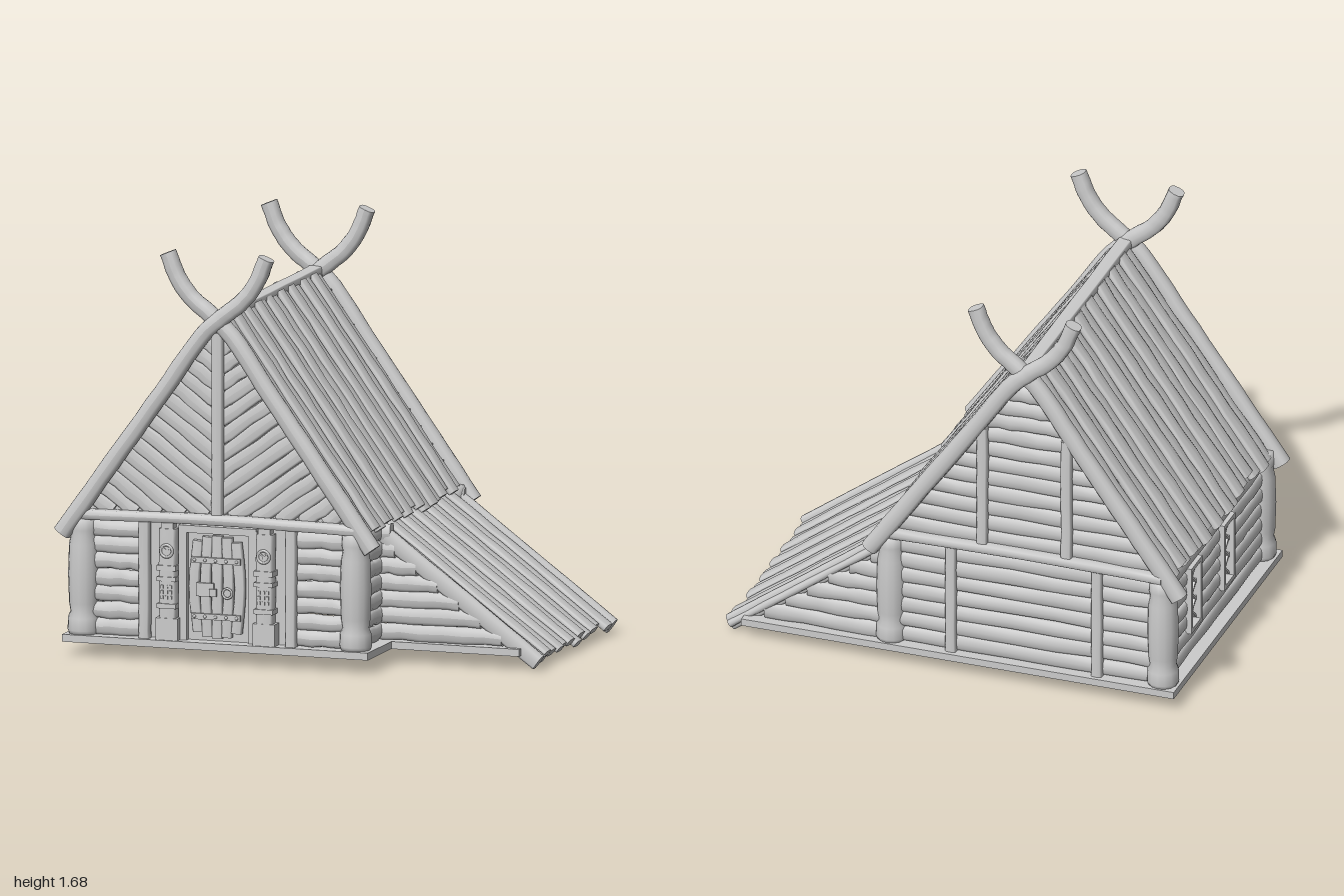
import * as THREE from 'three';

const CX = -0.3;            // ridge line of the main house
const PITCH = 1.4;          // main roof slope
const WALL_Y = 0.095, ROW = 0.067, ROWS = 7;

export function createModel() {
  const root = new THREE.Group();
  root.name = 'timberLonghouse';
  const mat = new THREE.MeshStandardMaterial({ color: 0xcccccc, side: THREE.DoubleSide });
  let seed = 7;
  const rnd = () => (seed = (seed * 16807) % 2147483647) / 2147483647;
  const jit = (a) => (rnd() - 0.5) * 2 * a;
  const V = (p) => new THREE.Vector3(...p);

  const group = (name, parent = root) => {
    const g = new THREE.Group();
    g.name = name;
    parent.add(g);
    return g;
  };
  const add = (parent, name, geo, x = 0, y = 0, z = 0) => {
    const m = new THREE.Mesh(geo, mat);
    m.name = name;
    m.position.set(x, y, z);
    parent.add(m);
    return m;
  };
  const box = (parent, name, w, h, d, x, y, z) => add(parent, name, new THREE.BoxGeometry(w, h, d), x, y, z);

  // Rough hewn timber lofted along points: w across, d along "up"; sq 1 = round, small = square
  function timber(parent, name, pts, w, d, up, { sq = 0.5, seg = 8, wob = 0.07, end = 1 } = {}) {
    const curve = new THREE.CatmullRomCurve3(pts.map(V));
    const geo = new THREE.CylinderGeometry(1, 1, 1, 12, seg);
    const rings = Array.from({ length: seg + 1 }, (_, i) => ({
      p: curve.getPoint(i / seg), t: curve.getTangent(i / seg),
      s: (1 + jit(wob)) * (1 + (end - 1) * i / seg), o: jit(wob * w * 0.5), q: 1 + jit(wob),
    }));
    const pos = geo.attributes.position, U = V(up);
    const pw = (v) => Math.sign(v) * Math.abs(v) ** sq;
    for (let i = 0; i < pos.count; i++) {
      const r = rings[Math.round((0.5 - pos.getY(i)) * -seg + seg)];
      const n = U.clone().addScaledVector(r.t, -U.dot(r.t)).normalize();
      const s = r.t.clone().cross(n);
      const v = r.p.clone()
        .addScaledVector(s, pw(pos.getX(i)) * w / 2 * r.s + r.o)
        .addScaledVector(n, pw(pos.getZ(i)) * d / 2 * r.q * (1 + (end - 1) * 0.5));
      pos.setXYZ(i, v.x, v.y, v.z);
    }
    geo.computeVertexNormals();
    return add(parent, name, geo);
  }
  const log = (parent, a, b, d = 0.055) =>
    timber(parent, 'wallLog', [a, b], ROW * 1.06, d, a[2] === b[2] ? [0, 0, 1] : [1, 0, 0], { sq: 0.75, wob: 0.09 });
  const upright = (parent, x, y0, y1, z, w = 0.046) =>
    timber(parent, 'uprightPost', [[x, y0, z], [x, y1, z]], w, 0.045, [0, 0, 1], { sq: 0.5, seg: 5, wob: 0.05 });

  // L-shaped foundation frame, open in the middle
  const outline = (S, k) => {
    const s = new S();
    [[-0.95, 0.645], [0.9, 0.645], [0.9, -0.36], [0.355, -0.36], [0.355, -0.645], [-0.95, -0.645]]
      .forEach(([x, y], i) => {
        const px = x + (x < 0 ? k : -k), py = y + (y < 0 ? k : -k);
        i ? s.lineTo(px, py) : s.moveTo(px, py);
      });
    s.closePath();
    return s;
  };
  const base = outline(THREE.Shape, 0);
  base.holes.push(outline(THREE.Path, 0.12));
  add(root, 'foundationFrame', new THREE.ExtrudeGeometry(base, { depth: 0.03, bevelEnabled: false }), 0, 0.065, 0)
    .rotation.x = -Math.PI / 2;

  // Corner posts
  const profile = [[0, 0.09], [0.058, 0.09], [0.066, 0.11], [0.064, 0.16], [0.054, 0.185], [0.06, 0.22],
    [0.064, 0.34], [0.06, 0.46], [0.052, 0.5], [0.058, 0.52], [0.054, 0.575], [0, 0.58]]
    .map(([r, y]) => new THREE.Vector2(r, y));
  for (const x of [-0.88, 0.28]) for (const z of [-0.578, 0.578])
    add(root, 'cornerPost', new THREE.LatheGeometry(profile, 14), x, 0, z);

  // Log walls
  const leanX = (y) => 0.955 - (y - 0.04) / 0.735;
  const walls = group('logWalls');
  const windows = [-0.3, 0.09];
  for (let i = 0; i < ROWS; i++) {
    const y = WALL_Y + ROW * (i + 0.5);
    log(walls, [-0.86, y, 0.575], [-0.6, y, 0.575]);
    log(walls, [0.0, y, 0.575], [0.26, y, 0.575]);
    log(walls, [-0.86, y, -0.58], [0.3, y, -0.58]);
    log(walls, [0.28, y, 0.3], [0.28, y, 0.55]);
    const end = Math.max(leanX(y) - 0.02, 0.34);
    log(walls, [0.26, y, 0.31], [end, y, 0.31]);
    log(walls, [0.26, y, -0.585], [end, y, -0.585]);
    // left-hand wall leaves gaps for the windows
    const cuts = i > 1 && i < 6 ? [-0.55, ...windows.flatMap((z) => [z - 0.05, z + 0.05]), 0.55] : [-0.55, 0.55];
    for (let k = 0; k < cuts.length; k += 2) log(walls, [-0.88, y, cuts[k]], [-0.88, y, cuts[k + 1]]);
  }

  // Lattice windows
  for (const z of windows) {
    const g = group('latticeWindow');
    g.position.set(-0.9, 0.363, z);
    for (const s of [-1, 1]) {
      box(g, 'windowJamb', 0.05, 0.29, 0.018, 0, 0, s * 0.056);
      box(g, 'windowRail', 0.05, 0.018, 0.13, 0, s * 0.139, 0);
      for (let k = -1; k <= 1; k++)
        box(g, 'latticeBar', 0.012, 0.135, 0.009, 0, k * 0.078, 0).rotation.x = s * 0.8;
    }
  }

  // Wall framing front and back, with tie beams
  for (const s of [-1, 1]) {
    const f = group(s > 0 ? 'frontFraming' : 'backFraming');
    upright(f, -0.61, 0.09, 0.585, s * 0.605);
    upright(f, 0.015, 0.09, 0.585, s * 0.605);
    timber(f, 'tieBeam', [[-0.89, 0.585, s * 0.605], [CX, 0.595, s * 0.61], [0.29, 0.585, s * 0.605]], 0.042, 0.06, [0, 0, 1], { wob: 0.04 });
  }

  // Front gable: boards falling to a centre post in a V
  const front = group('frontGable');
  const slope = 0.72;
  for (const s of [-1, 1]) for (let c = 0.2; c < 1.34; c += 0.072) {
    const u0 = Math.max(0, (0.6 - c) / slope), u1 = (1.4 - c) / (PITCH + slope);
    if (u1 - u0 > 0.03)
      timber(front, 'gableBoard', [[CX + s * u0, c + slope * u0, 0.582], [CX + s * u1, c + slope * u1, 0.582]],
        0.06, 0.03, [0, 0, 1], { sq: 0.55, seg: 6, wob: 0.1 });
  }
  upright(front, CX, 0.59, 1.36, 0.602, 0.048);
  const tri = new THREE.Shape([[-0.56, 0.6], [0.56, 0.6], [0, 1.38]].map(([x, y]) => new THREE.Vector2(x, y)));
  add(front, 'gableBacking', new THREE.ExtrudeGeometry(tri, { depth: 0.008, bevelEnabled: false }), CX, 0, 0.568);

  // Back gable: stacked logs and two posts
  const back = group('backGable');
  for (let y = 0.635; y < 1.36; y += ROW) {
    const h = (1.4 - y) / PITCH;
    log(back, [CX - h, y, -0.58], [CX + h, y, -0.58]);
  }
  for (const s of [-1, 1]) upright(back, CX + s * 0.18, 0.59, 1.14, -0.607);

  // Main roof boards on a thin deck
  const roof = group('mainRoof');
  for (const s of [-1, 1]) {
    const up = [s * PITCH, 1, 0];
    const at = (u, z, lift = 0) => [CX + s * (u + lift * 0.81), 1.425 - PITCH * u + lift * 0.58, z];
    timber(roof, 'roofDeck', [at(0.01, 0, -0.012), at(0.6, 0, -0.012)], 1.13, 0.012, up, { sq: 0.15, wob: 0, seg: 2 });
    for (let i = 0; i < 17; i++) {
      const z = -0.536 + i * 0.067, lift = (i % 2) * 0.012 + jit(0.004);
      timber(roof, 'roofBoard', [at(0.012, z + jit(0.006), lift), at(0.3, z + jit(0.006), lift), at(0.616 + jit(0.012), z, lift)],
        0.07, 0.034, up, { sq: 0.6, seg: 12, wob: 0.1, end: 1.04 });
    }
  }
  timber(roof, 'ridgeBeam', [[CX, 1.412, -0.585], [CX, 1.41, 0.585]], 0.06, 0.045, [0, 1, 0], { sq: 0.3, wob: 0.03 });

  // Crossed gable rafters curling into horns
  for (const e of [-1, 1]) for (const s of [-1, 1]) {
    const z = e * 0.609 + (s > 0 ? 0.006 : -0.006);
    timber(root, 'hornedRafter', [[-0.66, 0.507], [-0.44, 0.815], [-0.22, 1.122], [-0.05, 1.36], [0.035, 1.435],
      [0.11, 1.495], [0.17, 1.575], [0.212, 1.676]].map(([x, y]) => [CX + s * x, y, z]),
    0.074, 0.066, [0, 0, 1], { sq: 0.75, seg: 36, wob: 0.025, end: 0.9 });
  }

  // Lean-to roof
  const lean = group('leanToRoof');
  const lup = [0.735, 1, 0];
  const la = (x, z, l = 0) => [x + l * 0.59, 0.037 + (0.967 - x) * 0.735 + l * 0.8, z];
  timber(lean, 'leanToDeck', [la(0.29, -0.145, -0.01), la(0.93, -0.145, -0.01)], 0.92, 0.01, lup, { sq: 0.15, wob: 0, seg: 2 });
  for (let i = 0; i < 13; i++) {
    const z = -0.575 + i * 0.07, lift = (i % 2) * 0.01;
    timber(lean, 'leanToBoard', [la(0.28, z, lift), la(0.6, z + jit(0.005), lift), la(0.955 + jit(0.016), z, lift)],
      0.072, 0.034, lup, { sq: 0.6, seg: 10, wob: 0.09 });
  }
  for (const z of [0.312, -0.575])
    timber(lean, 'leanToRafter', [la(0.28, z), la(0.967, z)], 0.05, 0.07, lup, { sq: 0.6, wob: 0.03 });

  // Door: bulged planks, straps, studs, ring and lock
  const door = group('door');
  door.position.set(CX, 0, 0.59);
  box(door, 'doorBacking', 0.62, 0.48, 0.02, 0, 0.335, -0.02);
  for (const s of [-1, 1]) box(door, 'doorJamb', 0.035, 0.46, 0.03, s * 0.15, 0.325, 0);
  box(door, 'doorLintel', 0.33, 0.03, 0.035, 0, 0.55, 0);
  for (let i = -2; i <= 2; i++) {
    const h = 0.42 - Math.abs(i) ** 2 * 0.012, x = i * 0.047;
    timber(door, 'doorPlank', [[x * 0.86, 0.32 - h / 2, 0.012], [x * 1.04, 0.32, 0.016], [x * 0.86, 0.32 + h / 2, 0.012]],
      0.045, 0.03, [0, 0, 1], { sq: 0.4, seg: 6, wob: 0.03 });
  }
  for (const y of [0.2, 0.43]) {
    box(door, 'doorStrap', 0.21, 0.024, 0.012, 0, y, 0.034);
    for (let i = -2; i <= 2; i++) add(door, 'stud', new THREE.SphereGeometry(0.007, 8, 6), i * 0.045, y, 0.041);
  }
  box(door, 'lockPlate', 0.075, 0.055, 0.014, -0.045, 0.31, 0.034);
  box(door, 'lockHasp', 0.03, 0.03, 0.014, -0.01, 0.3, 0.042);
  add(door, 'doorRing', new THREE.TorusGeometry(0.02, 0.005, 6, 16), 0.05, 0.3, 0.04);

  // Carved pillars either side of the door
  for (const s of [-1, 1]) {
    const p = group('carvedPillar');
    p.position.set(CX + s * 0.207, 0, 0.607);
    box(p, 'pillarFoot', 0.094, 0.09, 0.06, 0, 0.14, 0);
    timber(p, 'pillarShaft', [[0, 0.17, 0], [0, 0.4, 0.002], [0, 0.55, 0]], 0.074, 0.055, [0, 0, 1], { sq: 0.45, seg: 6, wob: 0.03 });
    box(p, 'pillarCap', 0.05, 0.03, 0.045, 0, 0.56, 0);
    add(p, 'carvedRing', new THREE.TorusGeometry(0.025, 0.006, 6, 18), 0, 0.46, 0.03);
    for (const a of [-1, 0, 1]) {
      const b = box(p, 'ringSpoke', 0.006, 0.024, 0.008, a * 0.008, 0.46 + (a ? 0.008 : -0.011), 0.03);
      b.rotation.z = -a * 0.9;
    }
    box(p, 'pillarBand', 0.082, 0.022, 0.064, 0, 0.39, 0.002);
    box(p, 'pillarBand', 0.082, 0.018, 0.064, 0, 0.345, 0.002);
    for (let i = 0; i < 9; i++)
      box(p, 'carvedBead', 0.011, 0.014, 0.01, (i % 3 - 1) * 0.018, 0.27 + Math.floor(i / 3) * 0.022, 0.028);
    box(p, 'pillarBand', 0.082, 0.02, 0.064, 0, 0.235, 0.002);
  }
  return root;
}
